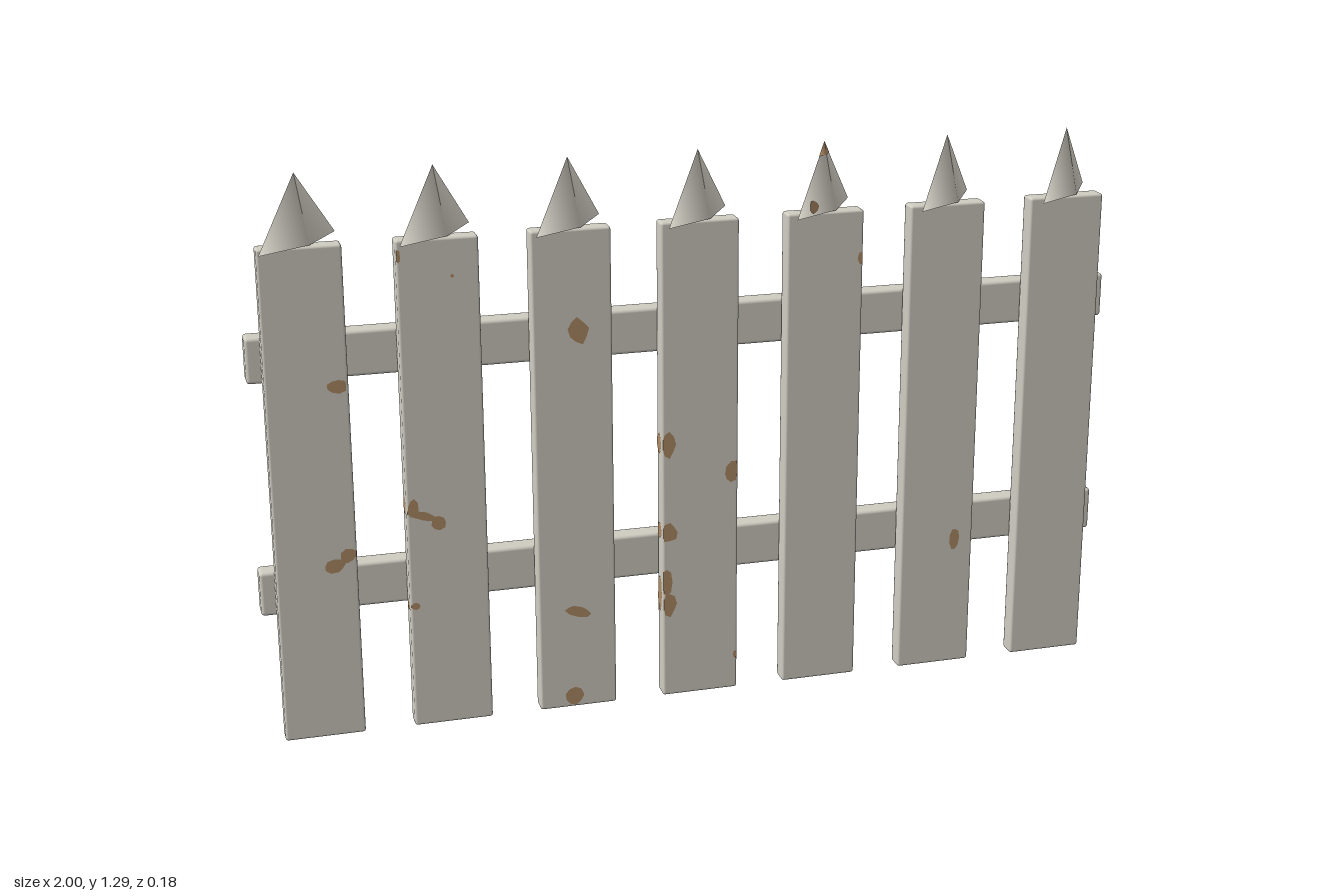
import * as THREE from 'three';
import { RoundedBoxGeometry } from 'three/addons/geometries/RoundedBoxGeometry.js';

const paint = new THREE.MeshStandardMaterial({ name: 'weatheredWhite', color: 0xd0cdc2 });
const rust = new THREE.MeshStandardMaterial({ name: 'bareWoodBrown', color: 0xb08c66 });

const POST = { count: 7, width: 0.18, height: 1.135, depth: 0.043, spacing: 0.2925 };
const CAP = { long: 0.128, short: 0.032, height: 0.152, base: 1.138 };
const EDGE = 0.006;

// small seeded generator for the ragged patch outlines
let seed = 7;
const rand = () => (seed = (seed * 16807) % 2147483647) / 2147483647;

function add(parent, name, geometry, material, x = 0, y = 0, z = 0) {
  const mesh = new THREE.Mesh(geometry, material);
  mesh.name = name;
  mesh.position.set(x, y, z);
  parent.add(mesh);
  return mesh;
}

// ragged flat blob centred on (cx, cy), kept inside the face it lies on
function blob(cx, cy, w, h, tilt, halfWidth) {
  const points = [];
  for (let i = 0; i < 9; i++) {
    const a = (i / 9) * Math.PI * 2;
    const r = 0.42 + rand() * 0.14;
    const px = Math.cos(a) * r * w;
    const py = Math.sin(a) * r * h;
    const x = cx + px * Math.cos(tilt) - py * Math.sin(tilt);
    const y = cy + px * Math.sin(tilt) + py * Math.cos(tilt);
    points.push(new THREE.Vector2(THREE.MathUtils.clamp(x, -halfWidth, halfWidth), Math.max(y, 0.004)));
  }
  return new THREE.ShapeGeometry(new THREE.Shape(points));
}

// flattened four-sided spike
function spike(scale) {
  const g = new THREE.ConeGeometry(CAP.long, CAP.height, 4);
  g.scale(scale, scale, (scale * CAP.short) / CAP.long);
  return g;
}

// blob draped over the sloping face of a spike
function capPatch(u, y, w, h) {
  const g = blob(u, y, w, h, 0, CAP.long);
  const p = g.attributes.position;
  for (let i = 0; i < p.count; i++) {
    const v = CAP.short * (1 - p.getY(i) / CAP.height - Math.abs(p.getX(i)) / CAP.long);
    p.setZ(i, Math.max(v, 0) + 0.0015);
  }
  g.computeVertexNormals();
  return g;
}

// worn patches: [post, offset across face, height, width, length, tilt]
const WORN = {
  front: [
    [0, 0.065, 0.823, 0.045, 0.032, 0], [0, 0.04, 0.41, 0.05, 0.032, 0.2], [0, 0.07, 0.432, 0.04, 0.03, 0.5],
    [1, -0.075, 0.525, 0.025, 0.045, 0], [1, -0.055, 0.507, 0.07, 0.02, -0.3], [1, -0.02, 0.488, 0.035, 0.035, 0],
    [1, -0.078, 0.294, 0.022, 0.018, 0], [1, -0.085, 1.1, 0.01, 0.03, 0], [1, 0.03, 1.05, 0.008, 0.008, 0],
    [2, 0.012, 0.905, 0.048, 0.06, 0.2], [2, 0.002, 0.238, 0.062, 0.025, -0.3], [2, -0.012, 0.027, 0.045, 0.05, 0],
    [3, -0.076, 0.62, 0.036, 0.062, 0], [3, -0.075, 0.407, 0.042, 0.045, 0],
    [3, -0.082, 0.285, 0.03, 0.07, 0], [3, -0.075, 0.23, 0.036, 0.06, 0],
    [3, 0.076, 0.542, 0.035, 0.05, -0.3], [3, 0.085, 0.085, 0.01, 0.02, 0],
    [4, 0.084, 1.025, 0.012, 0.03, 0], [5, 0.045, 0.318, 0.026, 0.055, 0],
  ],
  back: [
    [2, -0.065, 1.06, 0.045, 0.04, 0], [1, 0, 0.745, 0.042, 0.042, 0],
    [3, 0.075, 0.22, 0.025, 0.05, 0], [3, -0.077, 0.58, 0.03, 0.04, 0], [0, -0.082, 0.825, 0.018, 0.045, 0],
  ],
  left: [
    [0, 0, 0.82, 0.036, 0.05, 0], [0, 0, 1.1, 0.03, 0.04, 0], [1, 0, 0.135, 0.034, 0.035, 0],
    [2, 0, 1.01, 0.034, 0.06, 0], [3, 0, 0.56, 0.036, 0.05, 0],
  ],
  right: [
    [1, 0.005, 0.53, 0.03, 0.04, 0], [1, 0.005, 0.294, 0.03, 0.02, 0], [3, 0, 0.62, 0.034, 0.05, 0],
    [3, 0, 0.25, 0.034, 0.09, 0], [3, 0, 0.407, 0.034, 0.04, 0],
  ],
};
const TURN = { front: 0, back: Math.PI, left: Math.PI / 2, right: -Math.PI / 2 };

// worn patches on the spikes: [post, facing back, u, height, width, length]
const CAP_WORN = [
  [4, false, -0.07, 0.02, 0.03, 0.03],
  [4, true, 0.075, 0.022, 0.03, 0.035],
  [5, true, 0.03, 0.02, 0.035, 0.03],
  [2, true, 0.022, 0.1, 0.022, 0.03],
];

export function createModel() {
  const fence = new THREE.Group();
  fence.name = 'picketFence';
  const postGeometry = new RoundedBoxGeometry(POST.width, POST.height, POST.depth, 2, EDGE);
  const capGeometry = spike(1);

  // pickets with their spikes
  const pickets = [];
  const caps = [];
  for (let i = 0; i < POST.count; i++) {
    const picket = new THREE.Group();
    picket.name = 'picket' + (i + 1);
    picket.position.x = (i - (POST.count - 1) / 2) * POST.spacing;
    fence.add(picket);
    add(picket, 'post', postGeometry, paint, 0, POST.height / 2);
    const cap = new THREE.Group();
    cap.name = 'postCap';
    cap.position.y = CAP.base;
    cap.rotation.y = Math.PI / 4;
    picket.add(cap);
    add(cap, 'spike', capGeometry, paint, 0, CAP.height / 2);
    pickets.push(picket);
    caps.push(cap);
  }

  // two rails behind the pickets
  const railGeometry = new RoundedBoxGeometry(2, 0.103, 0.05, 2, 0.008);
  add(fence, 'lowerRail', railGeometry, paint, 0, 0.341, -0.047);
  add(fence, 'upperRail', railGeometry, paint, 0, 0.88, -0.047);

  // worn patches on the posts
  for (const [face, list] of Object.entries(WORN)) {
    const side = face === 'left' || face === 'right';
    const half = (side ? POST.depth : POST.width) / 2;
    const out = (side ? POST.width : POST.depth) / 2 + 0.001;
    for (const [i, across, y, w, h, tilt] of list) {
      const holder = new THREE.Group();
      holder.name = face + 'WornPatch';
      holder.rotation.y = TURN[face];
      add(holder, 'wornPatch', blob(across, y, w, h, tilt, half - 0.002), rust, 0, 0, out);
      pickets[i].add(holder);
    }
  }

  // worn patches and one worn tip on the spikes
  for (const [i, back, u, y, w, h] of CAP_WORN) {
    const patch = add(caps[i], 'wornCapPatch', capPatch(u, y, w, h), rust);
    if (back) patch.rotation.y = Math.PI;
  }
  add(caps[4], 'wornTip', spike(0.2), rust, 0, CAP.height * 0.9 + 0.002);

  return fence;
}
